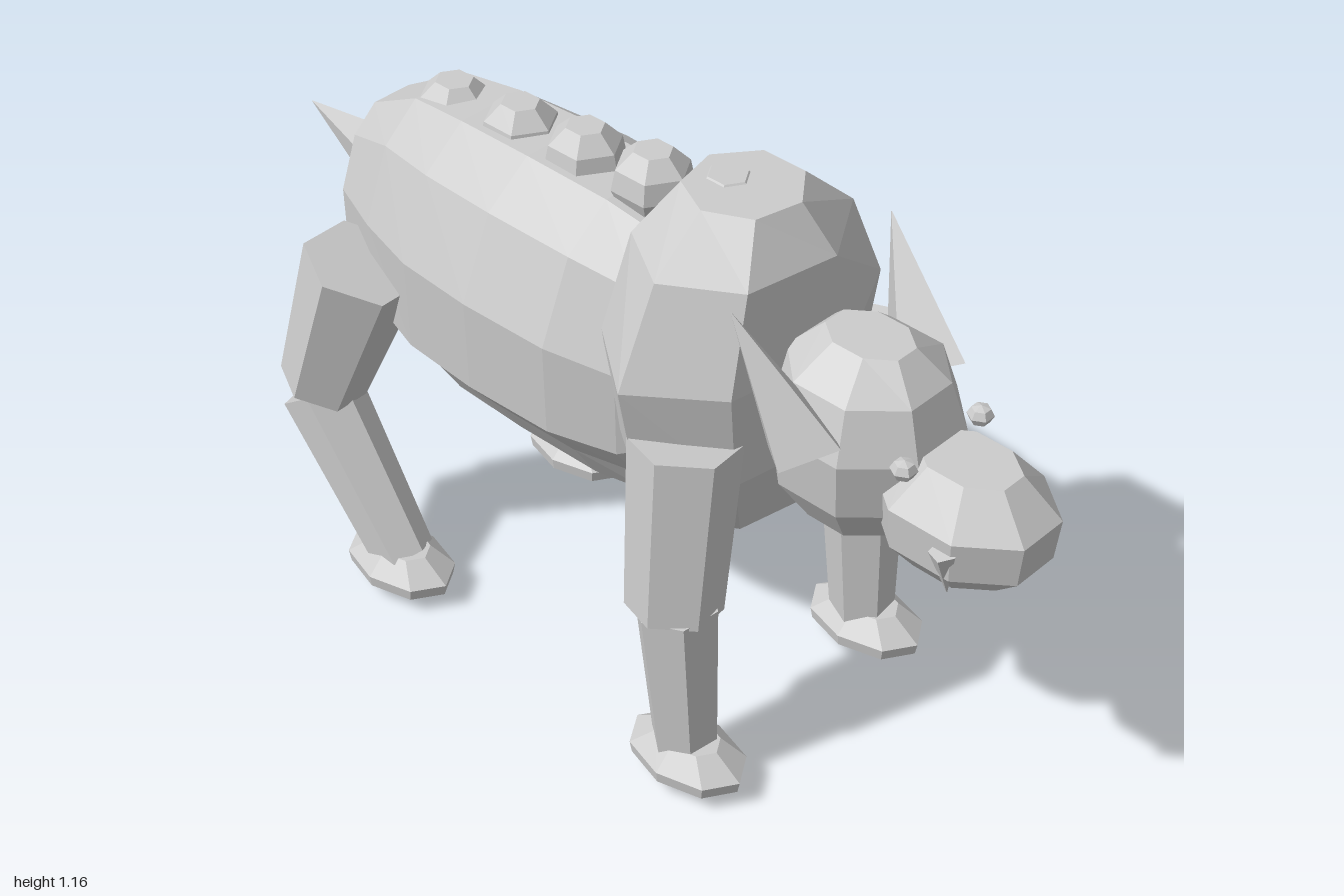
import * as THREE from 'three';

const clay = new THREE.MeshStandardMaterial({ color: 0xcccccc, flatShading: true });
clay.name = 'clay grey';

function add(parent, name, geometry) {
  const mesh = new THREE.Mesh(geometry, clay);
  mesh.name = name;
  parent.add(mesh);
  return mesh;
}

// Faceted blob: rings of [scale, y, extra z stretch] from bottom to top, squashed to rx and rz
function blob(rings, sides, rx, rz, start = 0) {
  const pts = [[0, rings[0][1]], ...rings, [0, rings[rings.length - 1][1]]];
  const g = new THREE.LatheGeometry(pts.map(([r, y]) => new THREE.Vector2(r, y)), sides, start);
  const pos = g.attributes.position;
  for (let i = 0; i < pos.count; i++) pos.setZ(i, pos.getZ(i) * (pts[i % pts.length][2] ?? 1));
  return g.scale(rx, 1, rz);
}

// Tapered prism from point a to point b, squashed sideways by flat
function limb(a, b, ra, rb, sides, flat = 1) {
  const from = new THREE.Vector3(...a), to = new THREE.Vector3(...b);
  const dir = to.clone().sub(from);
  const g = new THREE.CylinderGeometry(rb, ra, dir.length(), sides);
  g.scale(flat, 1, 1);
  g.applyQuaternion(new THREE.Quaternion().setFromUnitVectors(new THREE.Vector3(0, 1, 0), dir.normalize()));
  const mid = from.add(to).multiplyScalar(0.5);
  return g.translate(mid.x, mid.y, mid.z);
}

// Barrel: cross-sections [z, bottom, top, halfWidth] running from rump to chest
function barrel(sections) {
  const half = [[0.45, -1], [0.68, -0.72], [0.97, -0.44], [1, 0.2], [0.72, 0.75], [0.32, 1]];
  const ring = [...half, ...half.slice().reverse().map(([x, y]) => [-x, y])];
  const n = ring.length, pos = [], idx = [];
  for (const [z, lo, hi, w] of sections)
    for (const [x, y] of ring) pos.push(x * w, (lo + hi) / 2 + y * (hi - lo) / 2, z);
  for (let i = 0; i < sections.length - 1; i++)
    for (let j = 0; j < n; j++) {
      const a = i * n + j, b = i * n + (j + 1) % n;
      idx.push(a, b, b + n, a, b + n, a + n);
    }
  const last = (sections.length - 1) * n;
  for (let j = 1; j < n - 1; j++) idx.push(0, j + 1, j, last, last + j, last + j + 1);
  const g = new THREE.BufferGeometry();
  g.setAttribute('position', new THREE.Float32BufferAttribute(pos, 3));
  g.setIndex(idx);
  g.computeVertexNormals();
  return g;
}

export function createModel() {
  const model = new THREE.Group();
  model.name = 'beast';

  // Torso and shoulder hump
  add(model, 'body', barrel([
    [-0.66, 0.68, 0.86, 0.06],
    [-0.615, 0.55, 0.945, 0.14],
    [-0.47, 0.465, 1.025, 0.205],
    [-0.33, 0.43, 1.04, 0.24],
    [-0.15, 0.43, 1.045, 0.255],
    [0.05, 0.43, 1.04, 0.248],
    [0.19, 0.44, 1.01, 0.205],
    [0.28, 0.52, 0.93, 0.14],
  ]));
  add(model, 'shoulders', blob(
    [[0.48, 0.485, 1.3], [0.86, 0.66, 1.1], [1, 0.87], [0.72, 1.06, 1.22], [0.36, 1.155, 1.55]],
    7, 0.32, 0.2, -Math.PI / 2,
  )).position.z = 0.31;

  // Bumps along the spine
  [[0.27, 1.083], [0.09, 1.053], [-0.08, 1.03], [-0.25, 1.008], [-0.43, 0.98]].forEach(([z, y], i) => {
    const bump = add(model, 'spineBump' + (i + 1),
      blob([[0.06, -0.04], [0.078, 0], [0.07, 0.042], [0.037, 0.075]], 6, 1, 1.05));
    bump.position.set(0, y, z);
  });

  // Head and snout
  add(model, 'head', blob(
    [[0.58, 0.61], [0.93, 0.7], [1.02, 0.82], [0.82, 0.92], [0.38, 0.98, 1.25]], 8, 0.175, 0.185, Math.PI / 8,
  )).position.z = 0.605;
  add(model, 'snout', blob(
    [[0.62, 0.62], [0.95, 0.675], [1, 0.76], [0.52, 0.835, 1.1]], 8, 0.14, 0.178, Math.PI / 8,
  )).position.z = 0.835;

  // Tail
  add(model, 'tail', limb([0.02, 0.745, -0.57], [0.11, 0.715, -1], 0.092, 0.001, 5));

  // Mirrored parts
  for (const s of [1, -1]) {
    const side = s > 0 ? 'left' : 'right';

    const eye = add(model, side + 'Eye', new THREE.SphereGeometry(0.025, 6, 4));
    eye.scale.y = 0.8;
    eye.position.set(s * 0.105, 0.84, 0.775);

    add(model, side + 'Tusk', limb([s * 0.125, 0.735, 0.885], [s * 0.103, 0.63, 0.885], 0.026, 0.001, 5));
    add(model, side + 'Ear', limb([s * 0.165, 0.825, 0.605], [s * 0.212, 1.07, 0.47], 0.095, 0.001, 4, 0.75));

    for (const [name, hip, knee, shin, ankle, footZ, hipR, kneeR] of [
      ['Front', [0.225, 0.755, 0.385], [0.265, 0.4, 0.4], [0.265, 0.41, 0.405], [0.26, 0.07, 0.43], 0.44, 0.105, 0.092],
      ['Hind', [0.235, 0.735, -0.455], [0.27, 0.415, -0.56], [0.267, 0.39, -0.575], [0.26, 0.07, -0.355], -0.36, 0.12, 0.09],
    ]) {
      const leg = new THREE.Group();
      leg.name = side + name + 'Leg';
      model.add(leg);
      const m = ([x, y, z]) => [s * x, y, z];
      add(leg, 'upperLeg', limb(m(hip), m(knee), hipR, kneeR, 6, 0.95));
      add(leg, 'lowerLeg', limb(m(shin), m(ankle), 0.082, 0.064, 6));
      add(leg, 'foot', blob(
        [[0.5, 0], [0.96, 0.035], [1, 0.06], [0.55, 0.1]], 8, 0.088, 0.132,
      )).position.set(s * 0.263, 0, footZ);
    }
  }
  return model;
}
